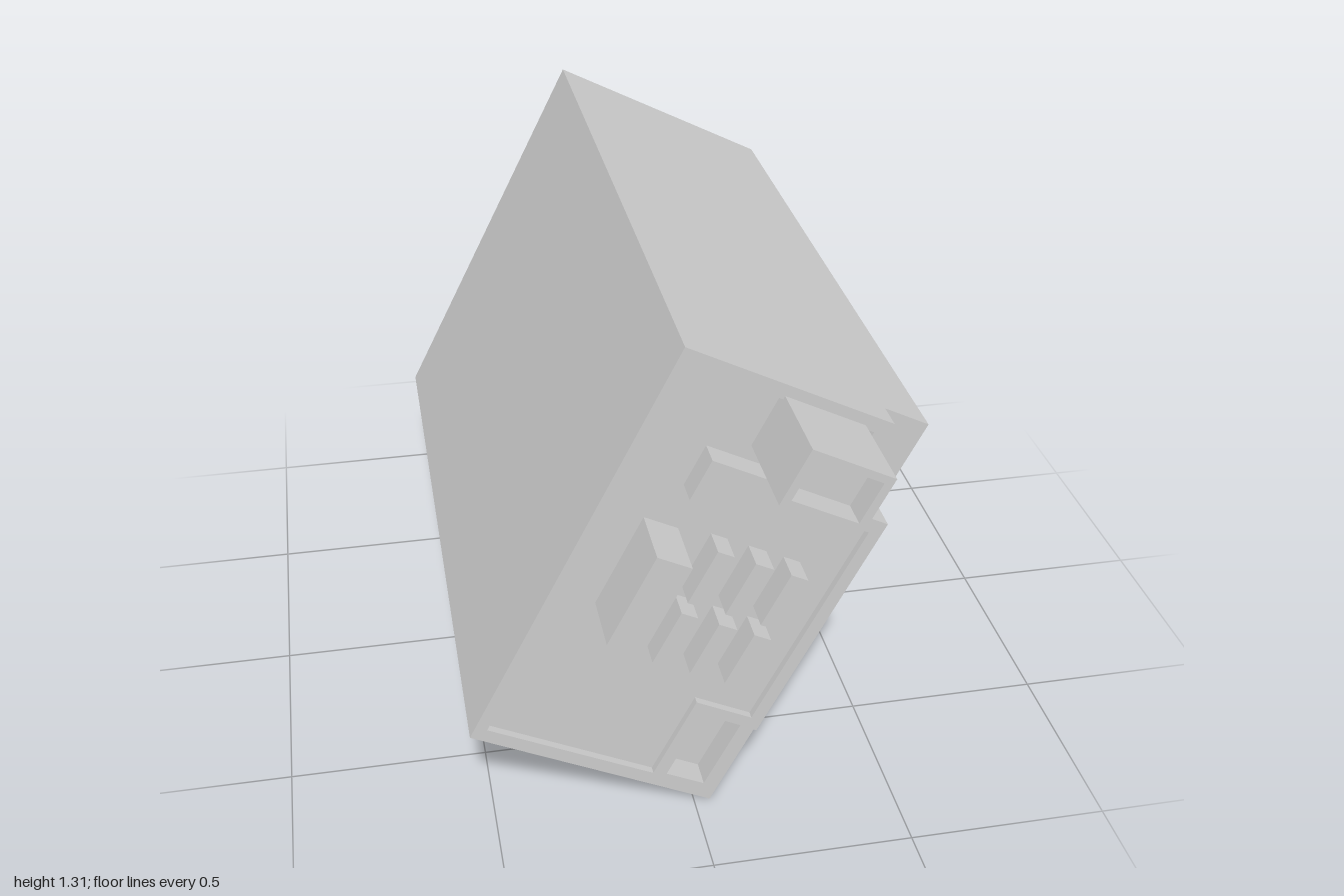
import * as THREE from 'three';

// Local frame: a runs along the short side, b along the long side, z is depth.
const TILT = -0.4677;

export function createModel() {
  const model = new THREE.Group();
  model.name = 'tiltedCase';
  const unit = new THREE.Group();
  unit.name = 'case';
  unit.rotation.z = TILT;
  unit.position.set(-0.553, 0.3, 0);
  model.add(unit);

  const material = new THREE.MeshStandardMaterial({ color: 0xcccccc, flatShading: true });

  const toPoints = (pts) => pts.map(([a, b]) => new THREE.Vector2(a, b));
  const rect = (a0, a1, b0, b1) => [[a0, b0], [a1, b0], [a1, b1], [a0, b1]];

  // Extrude an outline with optional holes between two depths
  function slab(name, outline, z0, z1, holes = []) {
    const shape = new THREE.Shape(toPoints(outline));
    for (const h of holes) shape.holes.push(new THREE.Path(toPoints(h)));
    const geo = new THREE.ExtrudeGeometry(shape, { depth: z1 - z0, bevelEnabled: false });
    geo.translate(0, 0, z0);
    const mesh = new THREE.Mesh(geo, material);
    mesh.name = name;
    unit.add(mesh);
  }

  // Plain block from its extents
  function block(name, a0, a1, b0, b1, z0, z1) {
    const geo = new THREE.BoxGeometry(a1 - a0, b1 - b0, z1 - z0);
    const mesh = new THREE.Mesh(geo, material);
    mesh.position.set((a0 + a1) / 2, (b0 + b1) / 2, (z0 + z1) / 2);
    mesh.name = name;
    unit.add(mesh);
  }

  // Case outline, with a slightly proud band on the right side
  const lowerSide = [[0, 0], [0.664, 0], [0.664, 0.238], [0.672, 0.238], [0.672, 0.89]];
  const fullOutline = [...lowerSide, [0.665, 0.89], [0.665, 1.132], [0, 1.132]];
  const notchedOutline = [...lowerSide, [0.543, 0.89], [0.543, 1.132], [0, 1.132]];
  const socket = rect(0.518, 0.625, 0.042, 0.24);
  const panel = [[0.03, 0.034], [0.484, 0.034], [0.484, 0.27], [0.64, 0.27],
    [0.64, 0.854], [0.509, 0.854], [0.509, 1.096], [0.03, 1.096]];

  const floorZ = 0.755, frontZ = 0.775;
  slab('caseBody', fullOutline, -1, 0.705);
  slab('panelBase', notchedOutline, 0.705, floorZ, [socket]);
  slab('frontRim', notchedOutline, floorZ, frontZ, [panel, socket]);

  // Rear foot under the case
  block('rearFoot', 0.027, 0.524, -0.046, 0.01, -1, -0.31);

  // Hollow port at the top, with the plate below it
  const portOuter = rect(0.267, 0.481, 0.957, 1.105);
  const portHole = rect(0.287, 0.46, 0.977, 1.086);
  slab('portBase', portOuter, floorZ, 0.93);
  slab('portRim', portOuter, 0.93, 1, [portHole]);
  block('plate', 0.169, 0.408, 0.811, 0.921, floorZ, 0.82);

  // Tall block on the left of the panel
  block('sideBlock', 0.122, 0.212, 0.448, 0.701, floorZ, 0.915);

  // Two rows of three keys
  const rows = [[0.563, 0.714], [0.381, 0.532]];
  const columns = [[0.292, 0.336], [0.393, 0.442], [0.489, 0.535]];
  for (const [b0, b1] of rows) {
    for (const [a0, a1] of columns) block('key', a0, a1, b0, b1, floorZ, 0.83);
  }

  return model;
}
